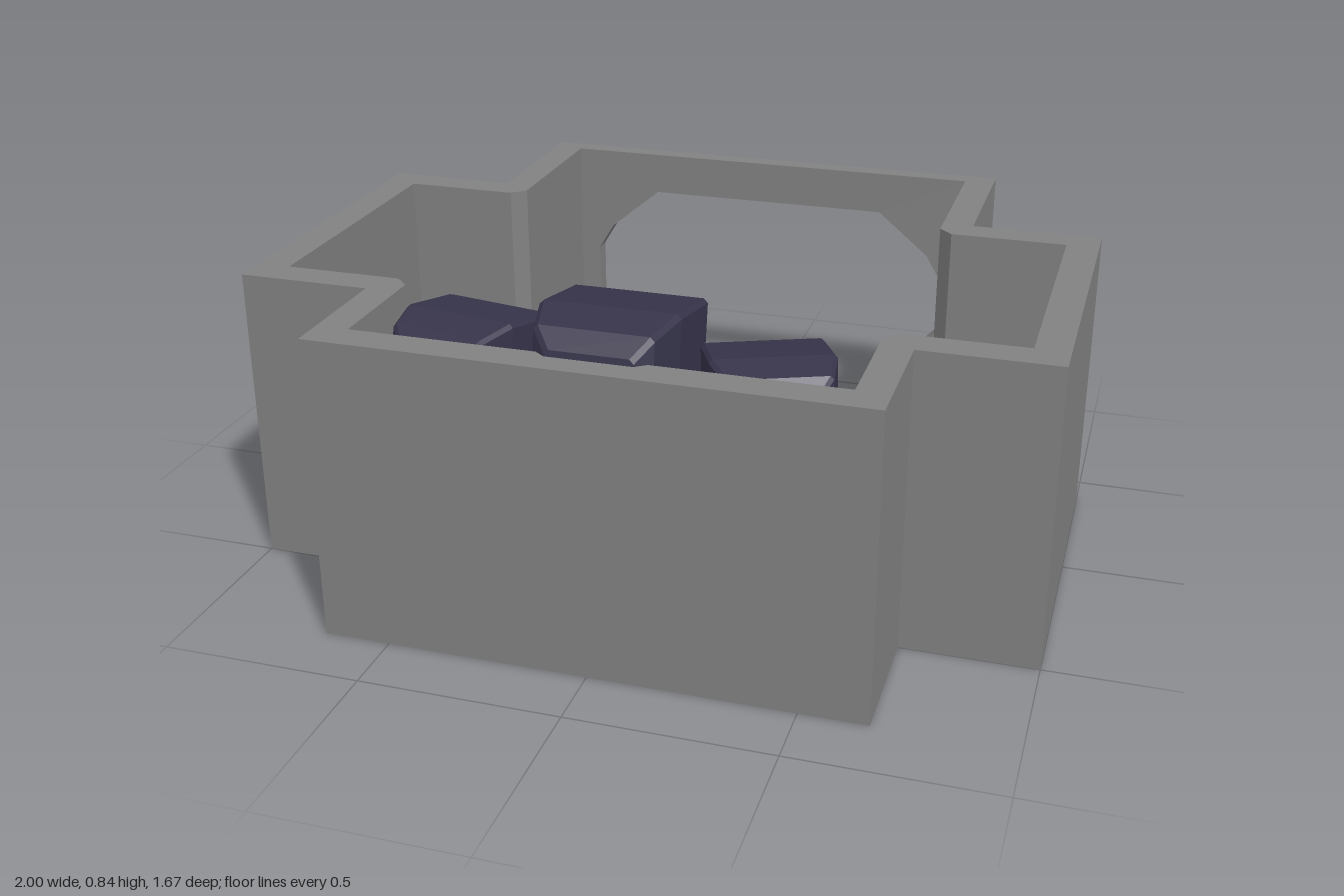
import * as THREE from 'three';

const mat = (color) => new THREE.MeshStandardMaterial({ color, flatShading: true });
const grey = mat(0x828282);
const red = mat(0x68181e);
const blue = mat(0x4a6fbe);
const navy = mat(0x2a2c48);
const casing = mat(0x37344b);
const glass = mat(0x0e2626);

function add(parent, name, geometry, material, x = 0, y = 0, z = 0) {
  const mesh = new THREE.Mesh(geometry, material);
  mesh.name = name;
  mesh.position.set(x, y, z);
  parent.add(mesh);
  return mesh;
}

const box = (parent, name, m, w, h, d, x, y, z) =>
  add(parent, name, new THREE.BoxGeometry(w, h, d), m, x, y, z);

const toShape = (pts) => new THREE.Shape(pts.map(([x, y]) => new THREE.Vector2(x, y)));

// Half of an outline (+x side) closed by its mirror image
const mirrored = (half) => [...half, ...half.map(([x, z]) => [-x, z]).reverse()];

// Plan outline (x, z) raised from y0 to y1
function slab(parent, name, m, pts, y0, y1) {
  const g = new THREE.ExtrudeGeometry(toShape(pts), { depth: y1 - y0, bevelEnabled: false });
  g.rotateX(Math.PI / 2);
  return add(parent, name, g, m, 0, y1, 0);
}

// Loft through octagonal sections [z, halfWidth, halfHeight, chamfer, yShift]
function loft(sections) {
  const pos = [], idx = [], n = 8;
  for (const [z, w, h, c, dy] of sections) {
    const ring = [[w, c - h], [w, h - c], [w - c, h], [c - w, h], [-w, h - c], [-w, c - h], [c - w, -h], [w - c, -h]];
    ring.forEach(([x, y]) => pos.push(x, y + dy, z));
  }
  const last = (sections.length - 1) * n;
  for (let s = 0; s < last; s += n)
    for (let i = 0; i < n; i++) {
      const a = s + i, b = s + (i + 1) % n;
      idx.push(a, b, b + n, a, b + n, a + n);
    }
  for (let i = 1; i < n - 1; i++) idx.push(0, i + 1, i, last, last + i, last + i + 1);
  const g = new THREE.BufferGeometry();
  g.setAttribute('position', new THREE.Float32BufferAttribute(pos, 3));
  g.setIndex(idx);
  const flat = g.toNonIndexed();
  flat.computeVertexNormals();
  return flat;
}

// Boxy tube monitor; its screen faces -z and the origin is the middle of the front
function monitor(parent, name, w, h, d, [x, y, z], yaw, pitch) {
  const g = new THREE.Group();
  g.name = name;
  const a = w / 2, b = h / 2, c = h * 0.04;
  add(g, name + 'Casing', loft([
    [0.018, a * 0.84, b * 0.82, c, 0],
    [0, a * 0.89, b * 0.88, c, 0],
    [0, a * 0.98, b * 0.98, c, 0],
    [d * 0.04, a, b, c, 0],
    [d * 0.62, a, b, c, 0],
    [d * 0.92, a * 0.84, b * 0.8, c, -b * 0.06],
    [d, a * 0.62, b * 0.5, c, -b * 0.12],
  ]), casing);
  box(g, name + 'Screen', glass, w * 0.84, h * 0.82, 0.008, 0, 0, 0.016);
  g.position.set(x, y, z);
  g.rotation.set(pitch, yaw, 0, 'YXZ');
  parent.add(g);
}

export function createModel() {
  const model = new THREE.Group();
  model.name = 'controlRoom';
  const H = 0.766, F = 0.04;

  // Floor of the cross-shaped room
  const outer = [[0.665, -0.835], [0.665, -0.39], [1, -0.39], [1, 0.5], [0.665, 0.5], [0.665, 0.835]];
  slab(model, 'floor', grey, mirrored(outer), 0, F);

  // Walls: one ring, left open at the back
  const inner = [[0.585, -0.835], [0.585, -0.343], [0.62, -0.308], [0.917, -0.308], [0.917, 0.415],
    [0.62, 0.415], [0.585, 0.45], [0.585, 0.75]];
  slab(model, 'walls', grey, [
    ...mirrored(outer), ...inner.map(([x, z]) => [-x, z]), ...[...inner].reverse(),
  ], F, H);

  // Back wall with a doorway of chamfered corners
  const back = toShape([[-0.585, F], [0.585, F], [0.585, H], [-0.585, H]]);
  back.holes.push(toShape(mirrored([
    [0.34, 0.05], [0.485, 0.25], [0.53, 0.3], [0.53, 0.455], [0.485, 0.53], [0.34, 0.65],
  ])));
  add(model, 'backWall', new THREE.ExtrudeGeometry(back, { depth: 0.05, bevelEnabled: false }), grey, 0, 0, -0.835);

  // Carpets, the blue one on a dark border strip that shows at the threshold
  box(model, 'carpetBorder', navy, 0.455, 0.03, 0.89, 0, 0.028, -0.391);
  box(model, 'blueCarpet', blue, 0.435, 0.02, 0.87, 0, 0.036, -0.381);
  slab(model, 'redCarpet', red, mirrored([
    [0.917, 0.055], [0.917, 0.415], [0.62, 0.415], [0.585, 0.45], [0.585, 0.75],
  ]), F - 0.01, F + 0.003);

  // Desk: middle top, two angled wings and side supports
  const desk = new THREE.Group();
  desk.name = 'desk';
  model.add(desk);
  slab(desk, 'deskMiddle', grey, mirrored([[0.277, 0.36], [0.277, 0.69]]), 0.19, 0.22);
  for (const s of [-1, 1]) {
    slab(desk, 'deskWing', grey, [[0.292, 0.365], [0.56, 0.46], [0.56, 0.69], [0.292, 0.69]].map(([x, z]) => [x * s, z]), 0.19, 0.22);
    box(desk, 'deskSupport', grey, 0.02, 0.15, 0.2, s * 0.54, 0.115, 0.58);
    box(desk, 'deskSupport', grey, 0.02, 0.15, 0.28, s * 0.262, 0.115, 0.54);
  }

  // Monitor wall: three large screens above four small ones standing on the desk
  const screens = new THREE.Group();
  screens.name = 'monitors';
  model.add(screens);
  monitor(screens, 'centreMonitor', 0.335, 0.265, 0.355, [0, 0.668, 0.427], 0, -0.18);
  monitor(screens, 'rightMonitor', 0.29, 0.22, 0.28, [-0.34, 0.64, 0.472], -0.18, -0.18);
  monitor(screens, 'leftMonitor', 0.285, 0.21, 0.27, [0.32, 0.635, 0.49], 0.4, -0.16);
  monitor(screens, 'lowerLeftMonitor', 0.22, 0.245, 0.2, [0.4, 0.345, 0.49], 0.1, -0.05);
  monitor(screens, 'lowerLeftInnerMonitor', 0.17, 0.19, 0.14, [0.2, 0.32, 0.57], 0.1, 0);
  monitor(screens, 'lowerRightMonitor', 0.19, 0.22, 0.17, [-0.36, 0.335, 0.54], -1.3, -0.05);
  monitor(screens, 'lowerRightInnerMonitor', 0.14, 0.19, 0.13, [-0.18, 0.32, 0.58], -0.8, 0);

  // Pedestal and brackets carrying the large screens
  box(screens, 'centrePedestal', casing, 0.2, 0.36, 0.1, 0, 0.39, 0.63);
  for (const s of [-1, 1]) box(screens, 'monitorBracket', casing, 0.08, 0.34, 0.05, s * 0.36, 0.39, 0.66);

  // Chair turned towards the desk
  const chair = new THREE.Group();
  chair.name = 'chair';
  box(chair, 'chairSeat', grey, 0.165, 0.035, 0.16, 0, 0.2, 0.015);
  const rest = box(chair, 'chairBack', grey, 0.165, 0.22, 0.055, 0, 0.32, -0.055);
  rest.rotation.x = -0.12;
  add(chair, 'chairPost', new THREE.CylinderGeometry(0.018, 0.018, 0.14, 8), grey, 0, 0.115, 0);
  for (const r of [0, Math.PI / 2]) box(chair, 'chairFoot', grey, 0.15, 0.018, 0.025, 0, 0.05, 0).rotation.y = r;
  chair.position.set(0, 0, 0.2);
  chair.rotation.y = 0.8;
  model.add(chair);

  return model;
}
